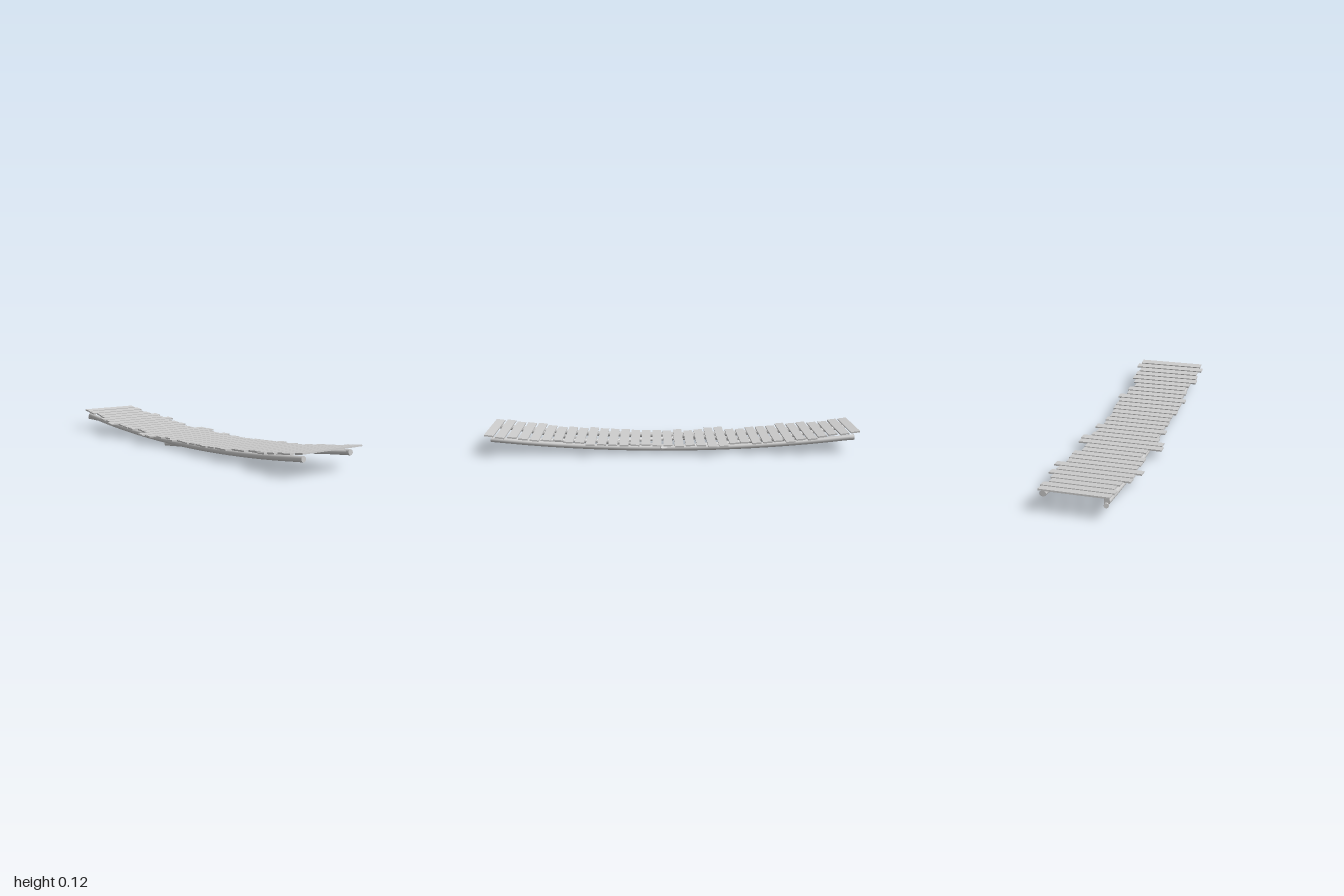
import * as THREE from 'three';
import { mergeGeometries } from 'three/addons/utils/BufferGeometryUtils.js';

const material = new THREE.MeshStandardMaterial({ color: 0xcccccc });
const V = (x, y, z) => new THREE.Vector3(x, y, z);

// left and right end (x) of every plank, from the back to the front
const planks = [
  [-.17, .17], [-.175, .18], [-.155, .16], [-.165, .175], [-.2, .207], [-.195, .19], [-.222, .224],
  [-.18, .18], [-.185, .187], [-.185, .192], [-.155, .16], [-.165, .165], [-.232, .218], [-.222, .226],
  [-.185, .185], [-.165, .175], [-.195, .202], [-.17, .17], [-.18, .18], [-.175, .17], [-.175, .175],
  [-.19, .186], [-.185, .187], [-.185, .187], [-.2, .207], [-.17, .17], [-.18, .18], [-.16, .155],
  [-.175, .175], [-.206, .197], [-.196, .196], [-.185, .187], [-.206, .218], [-.185, .203],
];

// height of the sagging deck and of the beams under it
const deckY = z => .048 + .07 * z * z;
const beamY = z => .031 + .058 * z * z;

// round pole along a smooth path, with flat caps
function pole(name, points, radius) {
  const curve = new THREE.CatmullRomCurve3(points);
  const parts = [new THREE.TubeGeometry(curve, 32, radius, 18)];
  for (const t of [0, 1]) {
    const normal = curve.getTangent(t).multiplyScalar(t ? 1 : -1);
    const cap = new THREE.CircleGeometry(radius, 18);
    cap.applyQuaternion(new THREE.Quaternion().setFromUnitVectors(V(0, 0, 1), normal));
    const p = curve.getPoint(t);
    parts.push(cap.translate(p.x, p.y, p.z));
  }
  const mesh = new THREE.Mesh(mergeGeometries(parts), material);
  mesh.name = name;
  return mesh;
}

export function createModel() {
  const model = new THREE.Group();
  model.name = 'plankBridge';

  // deck planks, each tilted to follow the sag
  const deck = new THREE.Group();
  deck.name = 'deck';
  planks.forEach(([x0, x1], i) => {
    const z = -.974 + i * 1.948 / (planks.length - 1);
    const plank = new THREE.Mesh(new THREE.BoxGeometry(x1 - x0, .008, .048), material);
    plank.position.set((x0 + x1) / 2, deckY(z), z);
    plank.rotation.x = -Math.atan(.14 * z);
    plank.name = 'plank';
    deck.add(plank);
  });
  model.add(deck);

  // two long side beams
  for (const [name, x] of [['leftBeam', .155], ['rightBeam', -.15]]) {
    const points = [];
    for (let i = 0; i <= 8; i++) {
      const z = -.97 + i * .2425;
      points.push(V(x, beamY(z), z));
    }
    model.add(pole(name, points, .0145));
  }

  // crossed braces under the front half and the back half
  model.add(
    pole('frontBrace', [V(.155, .085, .965), V(.005, .037, .4), V(-.15, .014, -.13)], .0115),
    pole('frontBrace', [V(-.15, .085, .965), V(.005, .037, .42), V(.155, .03, -.09)], .0115),
    pole('backBrace', [V(-.15, .072, -.985), V(.005, .032, -.45), V(.168, .033, .07)], .0115),
    pole('backBrace', [V(.165, .082, -.965), V(.005, .039, -.45), V(-.15, .03, .05)], .0115),
  );
  return model;
}
